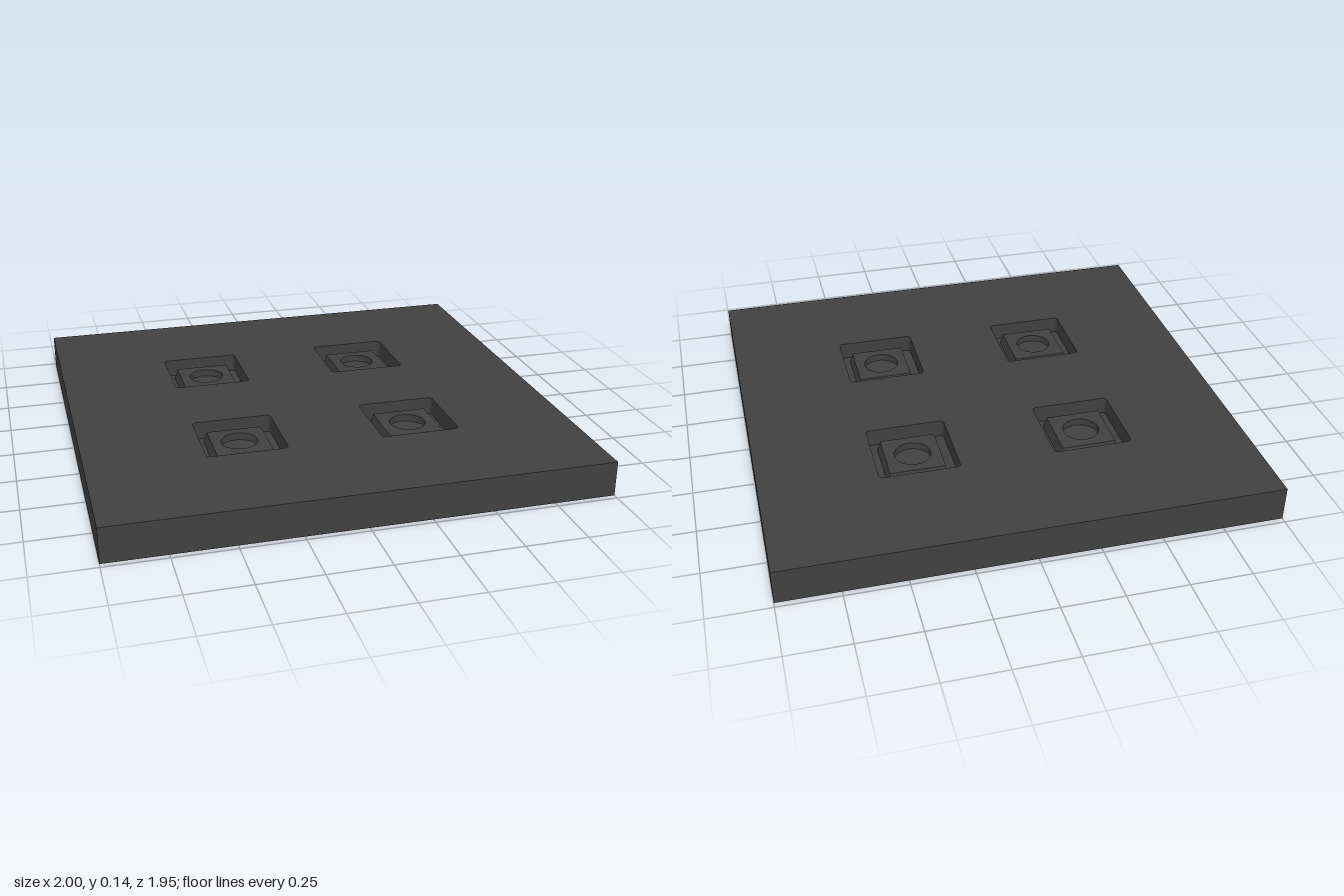
import * as THREE from 'three';

const DEPTH = 1.954, TOP = 0.145, FLOOR = 0.07, PITCH = 0.36;
const POCKET = 0.33, KEY = 0.228, KEY_BASE = 0.25, KEY_TOP = 0.12;
const HOLE_R = 0.075, HOLE_FLOOR = 0.09;

// Trace a square with slightly rounded corners
function square(path, cx, cy, size, r) {
  const h = size / 2;
  path.moveTo(cx + h, cy - h + r);
  path.absarc(cx + h - r, cy + h - r, r, 0, Math.PI / 2);
  path.absarc(cx - h + r, cy + h - r, r, Math.PI / 2, Math.PI);
  path.absarc(cx - h + r, cy - h + r, r, Math.PI, Math.PI * 1.5);
  path.absarc(cx + h - r, cy - h + r, r, Math.PI * 1.5, Math.PI * 2);
  path.closePath();
  return path;
}

export function createModel() {
  const model = new THREE.Group();
  const material = new THREE.MeshStandardMaterial({ color: 0x404040, flatShading: true });
  const walls = material.clone();
  walls.side = THREE.DoubleSide;

  function add(parent, name, geometry, y, mat = material) {
    const mesh = new THREE.Mesh(geometry, mat);
    mesh.name = name;
    mesh.position.y = y;
    parent.add(mesh);
    return mesh;
  }

  const centres = [];
  for (const x of [-PITCH, PITCH]) for (const z of [-PITCH, PITCH]) centres.push([x, z]);

  // Solid lower slab, which is also the floor of the pockets
  add(model, 'baseSlab', new THREE.BoxGeometry(2, FLOOR, DEPTH), FLOOR / 2);

  // Upper slab with four square pockets
  const plate = new THREE.Shape([
    new THREE.Vector2(-1, -DEPTH / 2), new THREE.Vector2(1, -DEPTH / 2),
    new THREE.Vector2(1, DEPTH / 2), new THREE.Vector2(-1, DEPTH / 2),
  ]);
  for (const [x, z] of centres) plate.holes.push(square(new THREE.Path(), x, -z, POCKET, 0.015));
  const plateGeometry = new THREE.ExtrudeGeometry(plate, { depth: TOP - FLOOR, bevelEnabled: false, curveSegments: 6 });
  add(model, 'pocketPlate', plateGeometry.rotateX(-Math.PI / 2), FLOOR);

  // Key top with its round opening
  const face = new THREE.Shape();
  square(face, 0, 0, KEY, 0.002);
  face.holes.push(new THREE.Path().absarc(0, 0, HOLE_R, 0, Math.PI * 2, true));
  const faceGeometry = new THREE.ShapeGeometry(face, 20).rotateX(-Math.PI / 2);

  // Slightly tapered key sides
  const sideGeometry = new THREE.CylinderGeometry(
    KEY / Math.SQRT2, KEY_BASE / Math.SQRT2, KEY_TOP - FLOOR, 4, 1, true).rotateY(Math.PI / 4);
  const boreGeometry = new THREE.CylinderGeometry(HOLE_R, HOLE_R, KEY_TOP - HOLE_FLOOR, 40, 1, true);
  const discGeometry = new THREE.CircleGeometry(HOLE_R, 40).rotateX(-Math.PI / 2);

  for (const [x, z] of centres) {
    const key = new THREE.Group();
    key.name = 'key';
    key.position.set(x, 0, z);
    add(key, 'keySides', sideGeometry, (KEY_TOP + FLOOR) / 2);
    add(key, 'keyTop', faceGeometry, KEY_TOP);
    add(key, 'holeWall', boreGeometry, (KEY_TOP + HOLE_FLOOR) / 2, walls);
    add(key, 'holeFloor', discGeometry, HOLE_FLOOR);
    model.add(key);
  }
  return model;
}
